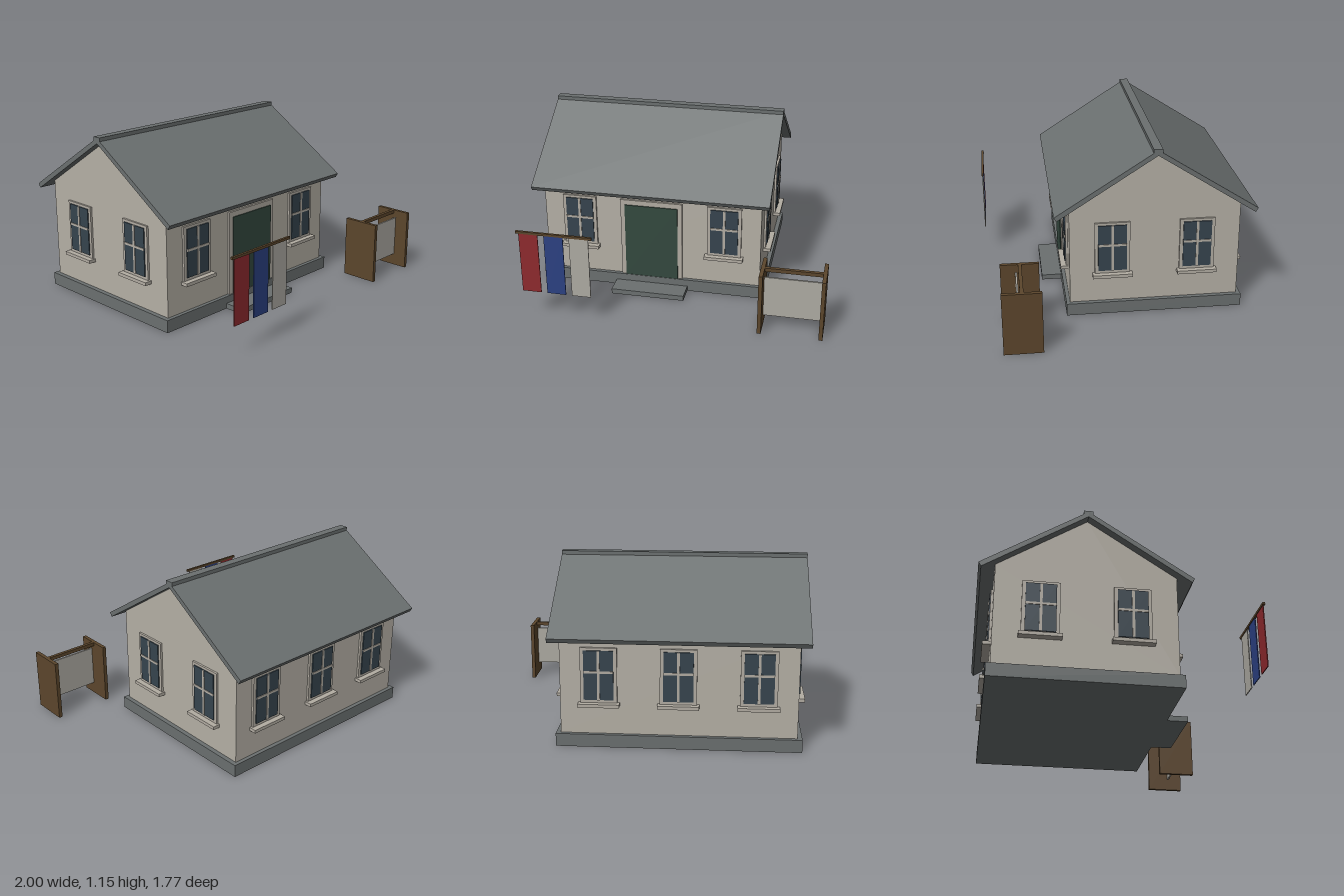
import * as THREE from 'three';

const mat = (name, color) => {
  const m = new THREE.MeshStandardMaterial({ color });
  m.name = name;
  return m;
};

export function createModel() {
  const slate = mat('slate grey', 0x6b7070);
  const plaster = mat('plaster', 0xb5b0a6);
  const trim = mat('pale trim', 0xb3ada3);
  const glass = mat('window glass', 0x36444e);
  const green = mat('door green', 0x34493f);
  const wood = mat('brown wood', 0x5c462c);
  const red = mat('banner red', 0x8e2a2e);
  const blue = mat('banner blue', 0x2c4183);
  const cloth = mat('pale cloth', 0xaeaba3);

  const model = new THREE.Group();
  model.name = 'house';

  // Box given by its limits on each axis
  const box = (parent, name, material, [x0, x1], [y0, y1], [z0, z1]) => {
    const mesh = new THREE.Mesh(new THREE.BoxGeometry(x1 - x0, y1 - y0, z1 - z0), material);
    mesh.position.set((x0 + x1) / 2, (y0 + y1) / 2, (z0 + z1) / 2);
    mesh.name = name;
    parent.add(mesh);
    return mesh;
  };

  // Cross-section of [z, y] points, extruded along x
  const section = (name, material, points, x0, x1) => {
    const shape = new THREE.Shape(points.map(([z, y]) => new THREE.Vector2(z, y)));
    const geo = new THREE.ExtrudeGeometry(shape, { depth: x1 - x0, bevelEnabled: false });
    geo.rotateY(-Math.PI / 2).translate(x1, 0, 0);
    const mesh = new THREE.Mesh(geo, material);
    mesh.name = name;
    model.add(mesh);
  };

  // House body
  const ridgeZ = -0.228;
  box(model, 'foundation', slate, [-0.97, 0.57], [0, 0.083], [-0.81, 0.355]);
  section('walls', plaster,
    [[0.33, 0.083], [0.33, 0.747], [ridgeZ, 1.106], [-0.784, 0.747], [-0.784, 0.083]], -0.94, 0.54);
  box(model, 'doorstep', slate, [-0.45, 0.048], [0, 0.035], [0.355, 0.49]);

  // Roof slopes with square-cut eaves, and the ridge cap
  for (const [side, name] of [[1, 'frontRoof'], [-1, 'backRoof']]) {
    section(name, slate, [[0, 1.105], [side * 0.641, 0.692], [side * 0.657, 0.72], [0, 1.14]]
      .map(([z, y]) => [ridgeZ + z, y]), -1, 0.6);
  }
  box(model, 'ridgeCap', slate, [-1, 0.6], [1.115, 1.146], [ridgeZ - 0.029, ridgeZ + 0.029]);

  // Door
  box(model, 'doorFrame', trim, [-0.41, 0.01], [0.083, 0.645], [0.325, 0.345]);
  box(model, 'door', green, [-0.38, -0.02], [0.083, 0.61], [0.335, 0.352]);

  // Window built facing +z, then turned onto its wall
  const addWindow = (x, z, angle) => {
    const w = new THREE.Group();
    w.name = 'window';
    box(w, 'windowFrame', trim, [-0.115, 0.115], [0.29, 0.645], [-0.005, 0.014]);
    box(w, 'windowPane', glass, [-0.093, 0.093], [0.31, 0.628], [0.012, 0.021]);
    box(w, 'verticalBar', trim, [-0.008, 0.008], [0.31, 0.628], [0.015, 0.025]);
    box(w, 'crossBar', trim, [-0.093, 0.093], [0.483, 0.498], [0.015, 0.025]);
    box(w, 'windowSill', trim, [-0.13, 0.13], [0.268, 0.29], [-0.005, 0.05]);
    w.position.set(x, 0, z);
    w.rotation.y = angle;
    model.add(w);
  };
  for (const x of [-0.695, 0.295]) addWindow(x, 0.33, 0);
  for (const x of [-0.695, -0.2, 0.295]) addWindow(x, -0.784, Math.PI);
  for (const z of [0.052, -0.503]) {
    addWindow(0.54, z, Math.PI / 2);
    addWindow(-0.94, z, -Math.PI / 2);
  }

  // Hanging banners
  const banners = new THREE.Group();
  banners.name = 'banners';
  model.add(banners);
  box(banners, 'bannerPole', wood, [-0.943, -0.448], [0.611, 0.627], [0.869, 0.885]);
  [['redBanner', red], ['blueBanner', blue], ['paleBanner', cloth]].forEach(([name, m], i) => {
    const x = -0.925 + i * 0.165;
    box(banners, name, m, [x, x + 0.125], [0.197, 0.613], [0.874, 0.88]);
  });

  // Notice stand
  const stand = new THREE.Group();
  stand.name = 'noticeStand';
  model.add(stand);
  for (const x of [0.585, 0.975]) box(stand, 'standSide', wood, [x, x + 0.025], [0, 0.415], [0.53, 0.778]);
  box(stand, 'standRail', wood, [0.61, 0.975], [0.39, 0.415], [0.641, 0.664]);
  box(stand, 'standPanel', cloth, [0.61, 0.975], [0.083, 0.36], [0.671, 0.683]);

  return model;
}
